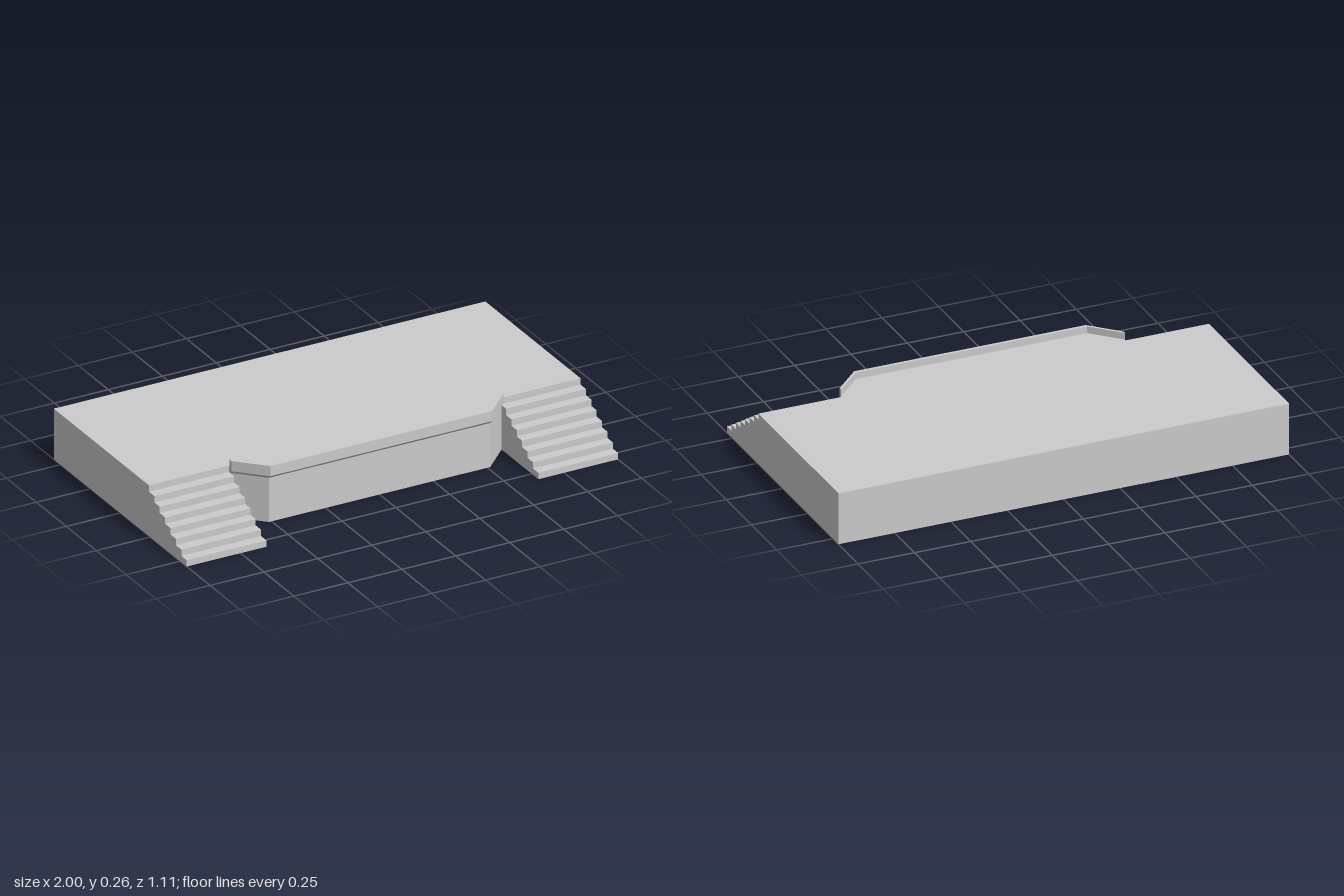
import * as THREE from 'three';

const H = 0.23, BACK = -0.555, STEP_Z = 0.24, FRONT = 0.555, NOTCH = 0.63;
// plan points [x, z] of the bay, left to right: wall face and parapet face
const wall = [[-NOTCH, 0.247], [-0.513, 0.364], [0.513, 0.364], [NOTCH, 0.247]];
const outer = [[-NOTCH, 0.262], [-0.514, 0.378], [0.514, 0.378], [NOTCH, 0.262]];

function extrude(points, depth) {
  const shape = new THREE.Shape(points.map(p => new THREE.Vector2(...p)));
  return new THREE.ExtrudeGeometry(shape, { depth, bevelEnabled: false });
}

// Sweep of a four-cornered section with a chamfered underside
function parapetGeometry() {
  const rings = wall.map(([x, z], i) => {
    const [ox, oz] = outer[i];
    return [[x, 0.2, z], [ox, 0.214, oz], [ox, 0.26, oz], [x, 0.26, z]];
  });
  const pos = [];
  const quad = (a, b, c, d) => pos.push(...a, ...b, ...c, ...a, ...c, ...d);
  for (let i = 0; i < rings.length - 1; i++) {
    const p = rings[i], q = rings[i + 1];
    for (let k = 0; k < 4; k++) {
      const n = (k + 1) % 4;
      quad(p[k], q[k], q[n], p[n]);
    }
  }
  quad(...rings[0]);
  quad(...[...rings[3]].reverse());
  const g = new THREE.BufferGeometry();
  g.setAttribute('position', new THREE.Float32BufferAttribute(pos, 3));
  g.computeVertexNormals();
  return g;
}

export function createModel() {
  const group = new THREE.Group();
  const mat = new THREE.MeshStandardMaterial({ color: 0xcccccc, flatShading: true });
  const add = (name, geo) => {
    const mesh = new THREE.Mesh(geo, mat);
    mesh.name = name;
    group.add(mesh);
    return mesh;
  };

  // Platform with the splayed bay at the front
  const plan = [[-1, BACK], [1, BACK], [1, STEP_Z], [NOTCH, STEP_Z],
    ...[...wall].reverse(), [-NOTCH, STEP_Z], [-1, STEP_Z]];
  add('platform', extrude(plan, H).rotateX(Math.PI / 2).translate(0, H, 0));

  // Parapet along the edge of the bay
  add('parapet', parapetGeometry());

  // Flights of seven steps on both sides, the platform being the eighth rise
  const steps = 7, rise = H / (steps + 1), tread = (FRONT - STEP_Z) / steps;
  const profile = [[STEP_Z, 0], [FRONT, 0]];
  for (let i = 0; i < steps; i++) {
    const y = (i + 1) * rise;
    profile.push([FRONT - i * tread, y], [FRONT - (i + 1) * tread, y]);
  }
  const flight = extrude(profile, 1 - NOTCH).rotateY(-Math.PI / 2);
  add('leftStairs', flight).position.x = 1;
  add('rightStairs', flight).position.x = -NOTCH;

  return group;
}
